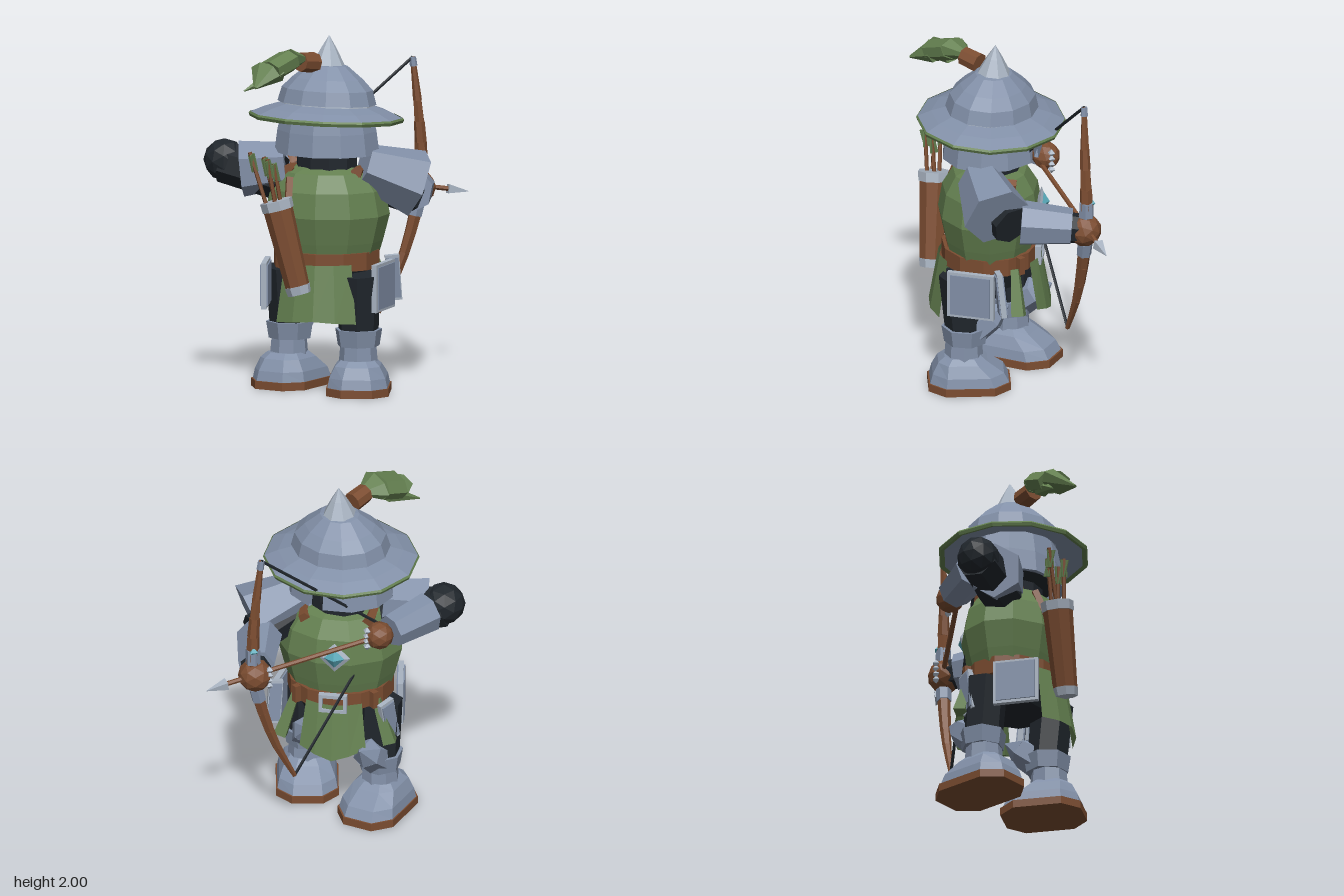
import * as THREE from 'three';

const C = { steel: 0x8290a8, pale: 0xa9b4c2, dark: 0x20262c, green: 0x648050, brown: 0x7c4d31, teal: 0x58a8b8 };
const V = (a) => new THREE.Vector3(...a);

function add(parent, name, geo, color, pos = [0, 0, 0], rot = [0, 0, 0]) {
  const mat = new THREE.MeshStandardMaterial({ color, flatShading: true, side: THREE.DoubleSide });
  const m = new THREE.Mesh(geo, mat);
  m.name = name;
  m.position.set(...pos);
  m.rotation.set(...rot);
  parent.add(m);
  return m;
}

// Tapered prism between two points
function rod(parent, name, a, b, r0, r1, color, n = 6) {
  const A = V(a), B = V(b), d = B.clone().sub(A);
  const m = add(parent, name, new THREE.CylinderGeometry(r1, r0, d.length(), n), color);
  m.position.copy(A).add(B).multiplyScalar(0.5);
  m.quaternion.setFromUnitVectors(new THREE.Vector3(0, 1, 0), d.normalize());
  return m;
}

// Lathe from [radius, y] pairs, squashed along z
function lathe(parent, name, pts, color, n, sz = 1, start = 0, len = Math.PI * 2) {
  const m = add(parent, name, new THREE.LatheGeometry(pts.map((p) => new THREE.Vector2(...p)), n, start, len), color);
  m.scale.z = sz;
  return m;
}

// Stacked chamfered rectangles, each [y, width, zFront, zBack]
function loft(sections) {
  const pos = [], idx = [], n = 8;
  for (const [y, w, z0, z1] of sections) {
    const h = w / 2, c = w * 0.25, q = (z1 - z0) * 0.2;
    for (const [x, z] of [[h - c, z1], [h, z1 - q], [h, z0 + q], [h - c, z0], [c - h, z0], [-h, z0 + q], [-h, z1 - q], [c - h, z1]]) pos.push(x, y, z);
  }
  const last = (sections.length - 1) * n;
  for (let s = 0; s < last; s += n)
    for (let i = 0; i < n; i++) {
      const a = s + i, b = s + (i + 1) % n;
      idx.push(a, b, a + n, b, b + n, a + n);
    }
  for (let i = 1; i < n - 1; i++) idx.push(0, i + 1, i, last, last + i, last + i + 1);
  const g = new THREE.BufferGeometry();
  g.setAttribute('position', new THREE.Float32BufferAttribute(pos, 3));
  g.setIndex(idx);
  g.computeVertexNormals();
  return g;
}

// Curved cloth panel whose lower edge drops to a point
function clothPanel(angle, width, top, bottom, drop) {
  const h = top - bottom;
  const g = new THREE.CylinderGeometry(0.29, 0.345, h, 4, 1, true, -width / 2, width);
  const p = g.attributes.position;
  for (let i = 0; i < p.count; i++) {
    const off = Math.abs(Math.atan2(p.getX(i), p.getZ(i)));
    if (p.getY(i) < 0) p.setY(i, p.getY(i) - drop * (1 - 2 * off / width));
  }
  return g.rotateY(angle).translate(0, (top + bottom) / 2, 0);
}

function plate(parent, name, w, h, pos, rot) {
  const g = new THREE.Group();
  g.name = name;
  g.position.set(...pos);
  g.rotation.set(...rot);
  add(g, 'plateRim', new THREE.BoxGeometry(w, h, 0.03), C.pale);
  add(g, 'plateFace', new THREE.BoxGeometry(w * 0.86, h * 0.88, 0.045), C.steel);
  parent.add(g);
}

function makeHat(root) {
  const hat = new THREE.Group();
  hat.name = 'hat';
  hat.position.set(0.04, 1.55, 0.175);
  hat.rotation.x = -0.06;
  root.add(hat);
  lathe(hat, 'brim', [[0.44, 0], [0.36, 0.035], [0.26, 0.065]], C.steel, 12, 0.92);
  lathe(hat, 'brimRim', [[0.44, 0.003], [0.448, -0.008], [0.44, -0.025], [0.415, -0.018]], C.green, 12, 0.92);
  lathe(hat, 'brimUnderside', [[0.43, -0.018], [0.27, 0.02]], C.steel, 12, 0.92);
  lathe(hat, 'hatBand', [[0.275, 0.055], [0.27, 0.085]], C.pale, 12, 0.88);
  lathe(hat, 'crown', [[0.288, 0.07], [0.265, 0.15], [0.205, 0.21], [0.115, 0.28], [0.09, 0.285]], C.steel, 12, 0.88);
  lathe(hat, 'hatSpike', [[0.095, 0.28], [0.045, 0.375], [0, 0.45]], C.pale, 8);
  rod(root, 'plumeHolder', [0.02, 1.855, 0.26], [0.0, 1.87, 0.37], 0.058, 0.055, C.brown, 8);
  // Plume: flattened, swelling and pointed tongues
  const plume = [[[0, 1.885, 0.36], 0.035], [[-0.03, 1.885, 0.45], 0.09], [[-0.065, 1.835, 0.59], 0.09], [[-0.05, 1.765, 0.74], 0.01]];
  for (let i = 0; i < 3; i++) {
    const m = rod(root, 'plume', plume[i][0], plume[i + 1][0], plume[i][1], plume[i + 1][1], C.green, 7);
    m.scale.set(1.2, 1, 0.72);
  }
  rod(root, 'plumeTongue', [-0.07, 1.82, 0.5], [-0.17, 1.73, 0.68], 0.05, 0.004, C.green, 5);
}

function makeHead(root) {
  const head = new THREE.Group();
  head.name = 'head';
  head.position.set(0.04, 0, 0.17);
  root.add(head);
  lathe(head, 'helmet', [[0.265, 1.6], [0.295, 1.47], [0.312, 1.345], [0.285, 1.345], [0.27, 1.47]], C.steel, 11, 0.88, Math.PI + 0.14, Math.PI * 2 - 0.28);
  lathe(head, 'darkFace', [[0, 1.58], [0.25, 1.57], [0.25, 1.36], [0.18, 1.33], [0.18, 1.2]], C.dark, 10, 0.9);
  add(head, 'eyeSlit', new THREE.BoxGeometry(0.2, 0.03, 0.03), C.dark, [0, 1.46, -0.24]);
}

function makeBody(root) {
  const body = new THREE.Group();
  body.name = 'body';
  body.position.set(0.045, 0, 0.18);
  body.rotation.y = 0.38;
  root.add(body);
  lathe(body, 'tunic', [[0.29, 0.76], [0.318, 0.85], [0.357, 1.0], [0.328, 1.14], [0.255, 1.24], [0.16, 1.27], [0, 1.27]], C.green, 11, 0.82);
  lathe(body, 'belt', [[0.28, 0.7], [0.302, 0.7], [0.302, 0.8], [0.28, 0.8]], C.brown, 12, 0.9);
  lathe(body, 'hips', [[0, 0.56], [0.2, 0.57], [0.275, 0.72]], C.dark, 10, 0.85);
  add(body, 'backCloth', clothPanel(0, 1.45, 0.74, 0.41, -0.02), C.green);
  add(body, 'frontCloth', clothPanel(Math.PI, 1.15, 0.74, 0.47, 0.06), C.green);
  for (const s of [-1, 1]) {
    // Belt buckle frame
    add(body, 'buckle', new THREE.BoxGeometry(0.15, 0.02, 0.035), C.pale, [0, 0.75 + s * 0.045, -0.28]);
    add(body, 'buckle', new THREE.BoxGeometry(0.02, 0.11, 0.035), C.pale, [s * 0.07, 0.75, -0.28]);
    // Shoulder straps, hanging side flaps and belt loops
    rod(body, 'shoulderStrap', [s * 0.2, 1.25, 0.12], [s * 0.18, 1.22, -0.17], 0.035, 0.035, C.brown, 5);
    rod(body, 'sideFlap', [s * 0.23, 0.73, -0.17], [s * 0.31, 0.48, -0.2], 0.03, 0.05, C.green, 4);
    rod(body, 'beltLoop', [s * 0.22, 0.7, -0.2], [s * 0.22, 0.8, -0.2], 0.025, 0.025, C.brown, 4);
  }
  const gem = add(body, 'chestGemFrame', new THREE.OctahedronGeometry(0.09), C.pale, [-0.01, 1.05, -0.29]);
  gem.scale.z = 0.35;
  const core = add(body, 'chestGem', new THREE.OctahedronGeometry(0.06), C.teal, [-0.01, 1.05, -0.3]);
  core.scale.z = 0.6;
  // Hip armour
  plate(root, 'hipPlate', 0.27, 0.27, [0.385, 0.605, 0.115], [0, Math.PI / 2 + 0.22, 0]);
  plate(root, 'hipPlate', 0.26, 0.26, [-0.2, 0.61, 0.425], [0, -1.05, 0]);
  plate(root, 'frontHipPlate', 0.08, 0.26, [0.34, 0.63, -0.05], [0.12, 0.7, 0]);
  plate(root, 'frontHipPlate', 0.1, 0.26, [-0.29, 0.6, 0.14], [0, 1.3, -0.2]);
}

// Leg with the toe pointing to -z; w and l are the sole's width and length
function makeLeg(root, x, z, yaw, w, l) {
  const leg = new THREE.Group();
  leg.name = 'leg';
  leg.position.set(x, 0, z);
  leg.rotation.y = yaw;
  root.add(leg);
  add(leg, 'sole', loft([[0, w, -l / 2, l / 2], [0.045, w, -l / 2, l / 2]]), C.brown);
  add(leg, 'boot', loft([[0.045, w * 0.96, -l * 0.48, l * 0.48], [0.1, w * 0.9, -l * 0.42, l * 0.45], [0.165, w * 0.72, -l * 0.22, l * 0.38], [0.195, w * 0.55, -l * 0.14, l * 0.3]]), C.steel);
  rod(leg, 'ankle', [0, 0.17, 0.03], [0, 0.29, 0.03], 0.11, 0.1, C.steel, 8);
  rod(leg, 'shinGuard', [0, 0.27, 0.02], [0, 0.365, 0.02], 0.12, 0.135, C.steel, 7);
  rod(leg, 'thigh', [0, 0.35, 0.02], [0, 0.68, 0.05], 0.115, 0.12, C.dark, 7);
  rod(leg, 'kneeGuard', [0, 0.35, -0.03], [0, 0.42, -0.13], 0.1, 0.085, C.steel, 6);
  rod(leg, 'kneePoint', [0, 0.42, -0.13], [0, 0.48, -0.22], 0.085, 0.005, C.steel, 6);
}

function makeArms(root) {
  // Arm holding the bow
  rod(root, 'bowUpperArm', [0.25, 1.2, 0.13], [0.4, 1.1, -0.16], 0.1, 0.12, C.dark, 7);
  rod(root, 'bowPauldron', [0.26, 1.28, 0.13], [0.465, 1.165, -0.1], 0.125, 0.195, C.steel, 6);
  rod(root, 'bowForearm', [0.355, 1.105, -0.19], [0.225, 1.085, -0.44], 0.13, 0.105, C.steel, 7);
  rod(root, 'bowCuff', [0.25, 1.085, -0.41], [0.205, 1.075, -0.48], 0.09, 0.085, C.dark, 7);
  add(root, 'bowHand', new THREE.IcosahedronGeometry(0.096, 1), C.brown, [0.195, 1.07, -0.505]);
  // Arm drawing the string
  rod(root, 'drawUpperArm', [-0.18, 1.19, 0.3], [-0.5, 1.27, 0.41], 0.13, 0.12, C.dark, 7);
  rod(root, 'drawPauldron', [-0.16, 1.265, 0.29], [-0.37, 1.24, 0.42], 0.13, 0.16, C.steel, 6);
  add(root, 'drawElbow', new THREE.IcosahedronGeometry(0.12, 1), C.dark, [-0.49, 1.28, 0.41]);
  rod(root, 'drawForearm', [-0.435, 1.25, 0.33], [-0.34, 1.22, 0.08], 0.115, 0.095, C.steel, 7);
  add(root, 'drawHand', new THREE.IcosahedronGeometry(0.08, 1), C.brown, [-0.305, 1.215, 0.015]);
  for (let i = 0; i < 4; i++) {
    add(root, 'knuckle', new THREE.OctahedronGeometry(0.024), C.pale, [-0.26, 1.16 + i * 0.033, -0.045]);
    add(root, 'knuckle', new THREE.OctahedronGeometry(0.024), C.pale, [0.11, 1.02 + i * 0.033, -0.49]);
  }
}

function makeBow(root) {
  const tipA = [0.165, 1.805, -0.487], tipB = [0.05, 0.37, -0.317], nock = [-0.25, 1.2, 0.14];
  const curve = new THREE.CatmullRomCurve3([tipA, [0.19, 1.52, -0.505], [0.2, 1.25, -0.52], [0.195, 1.07, -0.515], [0.175, 0.9, -0.49], [0.12, 0.62, -0.42], tipB].map(V));
  // Limbs thin out toward the tips
  const N = 14, r = (t) => 0.014 + 0.026 * Math.sin(Math.PI * t);
  const limb = (name, a, b, extra, color) =>
    rod(root, name, curve.getPoint(a).toArray(), curve.getPoint(b).toArray(), r(a) + extra, r(b) + extra, color, 6);
  for (let i = 0; i < N; i++) limb('bowLimb', i / N, (i + 1) / N, 0, C.brown);
  for (const [a, b] of [[0, 0.03], [0.34, 0.42], [0.58, 0.66]]) limb('bowBand', a, b, 0.005, C.steel);
  add(root, 'bowGem', new THREE.OctahedronGeometry(0.03), C.teal, [0.185, 1.24, -0.54]);
  rod(root, 'bowString', tipA, nock, 0.009, 0.009, C.dark, 5);
  rod(root, 'bowString', tipB, nock, 0.009, 0.009, C.dark, 5);
  rod(root, 'arrowShaft', [-0.3, 1.19, 0.07], [0.3, 1.05, -0.65], 0.014, 0.014, C.brown, 6);
  rod(root, 'arrowHead', [0.295, 1.05, -0.645], [0.37, 1.03, -0.74], 0.036, 0.002, C.pale, 4);
}

function makeQuiver(root) {
  const top = V([-0.025, 1.11, 0.575]), low = V([0.1, 0.585, 0.525]);
  const at = (t) => low.clone().lerp(top, t).toArray();
  rod(root, 'quiver', at(0.05), at(0.95), 0.068, 0.085, C.brown, 8);
  rod(root, 'quiverBand', at(0), at(0.09), 0.066, 0.073, C.pale, 8);
  rod(root, 'quiverBand', at(0.9), at(1), 0.09, 0.093, C.pale, 8);
  rod(root, 'quiverStrap', [0.0, 1.0, 0.5], [-0.04, 1.22, 0.42], 0.025, 0.025, C.brown, 4);
  // Spare arrows with fletching
  for (const [dx, dz, h] of [[-0.045, 0.03, 1.38], [-0.01, -0.03, 1.35], [0.035, 0.03, 1.35], [0.04, -0.02, 1.32]]) {
    const a = [-0.025 + dx * 0.7, 1.05, 0.575 + dz], b = [-0.09 + dx * 1.5, h, 0.61 + dz];
    rod(root, 'spareArrow', a, b, 0.012, 0.012, C.brown, 5);
    const f = V(a).lerp(V(b), 0.82).toArray();
    for (const ry of [0, Math.PI / 2]) add(root, 'fletching', new THREE.BoxGeometry(0.045, 0.1, 0.006), C.green, f, [0.1, ry, 0.2]);
  }
}

export function createModel() {
  const root = new THREE.Group();
  root.name = 'archer';
  makeHat(root);
  makeHead(root);
  makeBody(root);
  makeLeg(root, 0.27, 0.19, 0.55, 0.35, 0.46);
  makeLeg(root, -0.21, 0.155, 0.06, 0.35, 0.5);
  makeArms(root);
  makeBow(root);
  makeQuiver(root);
  return root;
}
